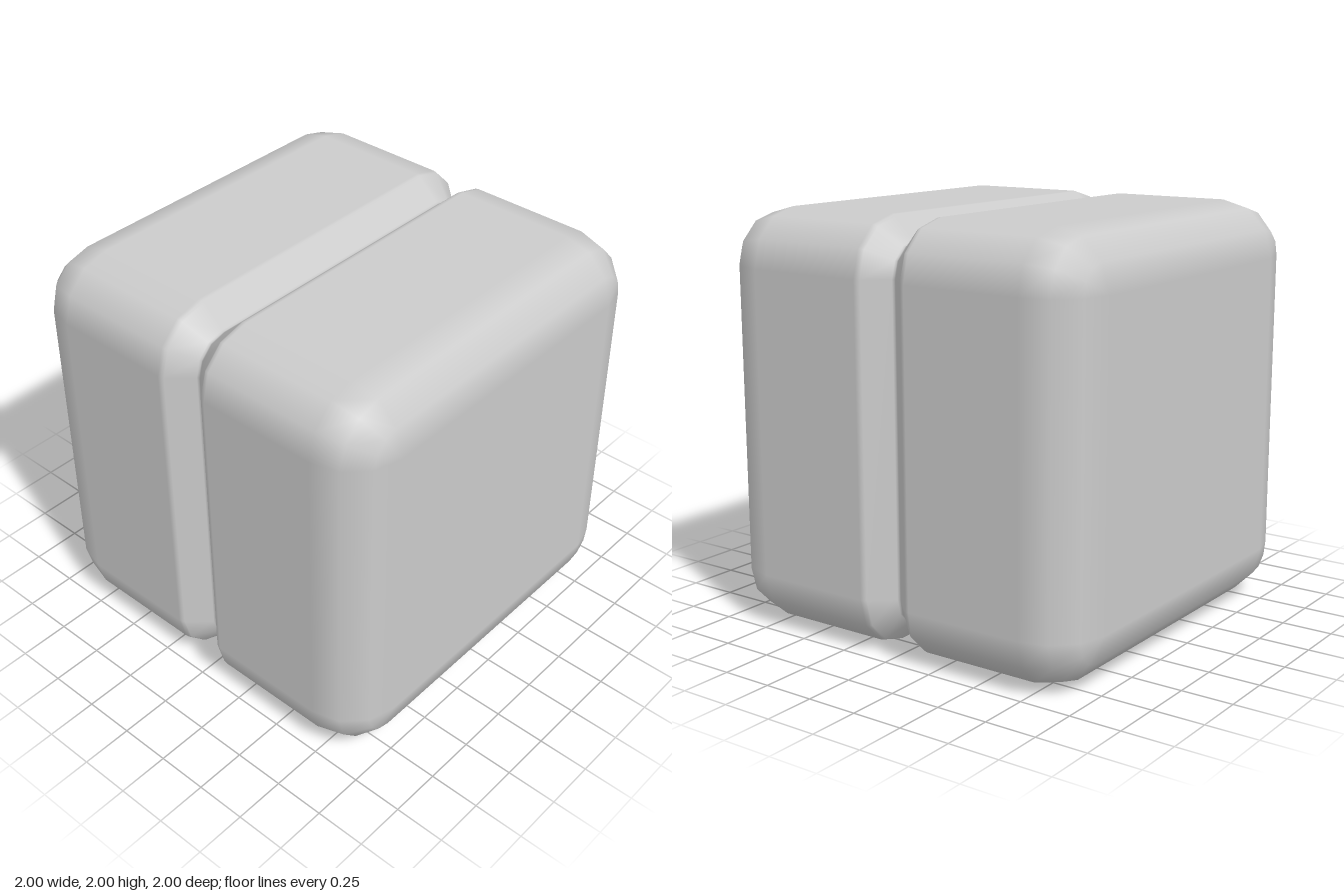
import * as THREE from 'three';

const R = 0.267;      // corner radius
const STEPS = 3;      // segments per rounded quarter

// Half profile from the groove bottom to the front face: [z, inset, tilt of the normal towards +z]
function halfProfile() {
  const q = Math.PI / 4;
  const rows = [[0.01, 0.106, -q], [0.112, 0.01, -q], [0.122, 0.003, -q / 2], [0.14, 0, 0]];
  for (let i = 0; i <= STEPS; i++) {
    const a = (i / STEPS) * Math.PI / 2;
    rows.push([1 - R + R * Math.sin(a), R * (1 - Math.cos(a)), a]);
  }
  rows.push([1, 1, Math.PI / 2]); // closes the flat face at its centre
  return rows;
}

// Rounded-square rings lofted along z
function loft(rows) {
  const pos = [], nor = [], idx = [];
  const n = 4 * (STEPS + 1);
  for (const [z, inset, tilt] of rows) {
    const r = Math.max(0, R - inset), core = 1 - inset - r;
    for (let c = 0; c < 4; c++) {
      const mid = (c + 0.5) * Math.PI / 2;
      for (let s = 0; s <= STEPS; s++) {
        const a = (c + s / STEPS) * Math.PI / 2;
        pos.push(Math.sign(Math.cos(mid)) * core + r * Math.cos(a),
          Math.sign(Math.sin(mid)) * core + r * Math.sin(a), z);
        nor.push(Math.cos(a) * Math.cos(tilt), Math.sin(a) * Math.cos(tilt), Math.sin(tilt));
      }
    }
  }
  for (let i = 0; i < rows.length - 1; i++) {
    for (let j = 0; j < n; j++) {
      const k = (j + 1) % n;
      const a = i * n + j, b = i * n + k, c = a + n, d = b + n;
      idx.push(a, b, c, b, d, c);
    }
  }
  const g = new THREE.BufferGeometry();
  g.setAttribute('position', new THREE.Float32BufferAttribute(pos, 3));
  g.setAttribute('normal', new THREE.Float32BufferAttribute(nor, 3));
  g.setIndex(idx);
  return g;
}

export function createModel() {
  const group = new THREE.Group();
  group.name = 'groovedCube';
  const front = halfProfile();
  const back = front.map(([z, inset, tilt]) => [-z, inset, -tilt]).reverse();

  // Rounded cube with a V-groove running round its middle
  const body = new THREE.Mesh(
    loft([...back, [0, 0.11, 0], ...front]),
    new THREE.MeshStandardMaterial({ color: 0xcccccc })
  );
  body.name = 'groovedBody';
  body.position.y = 1;
  group.add(body);
  return group;
}
